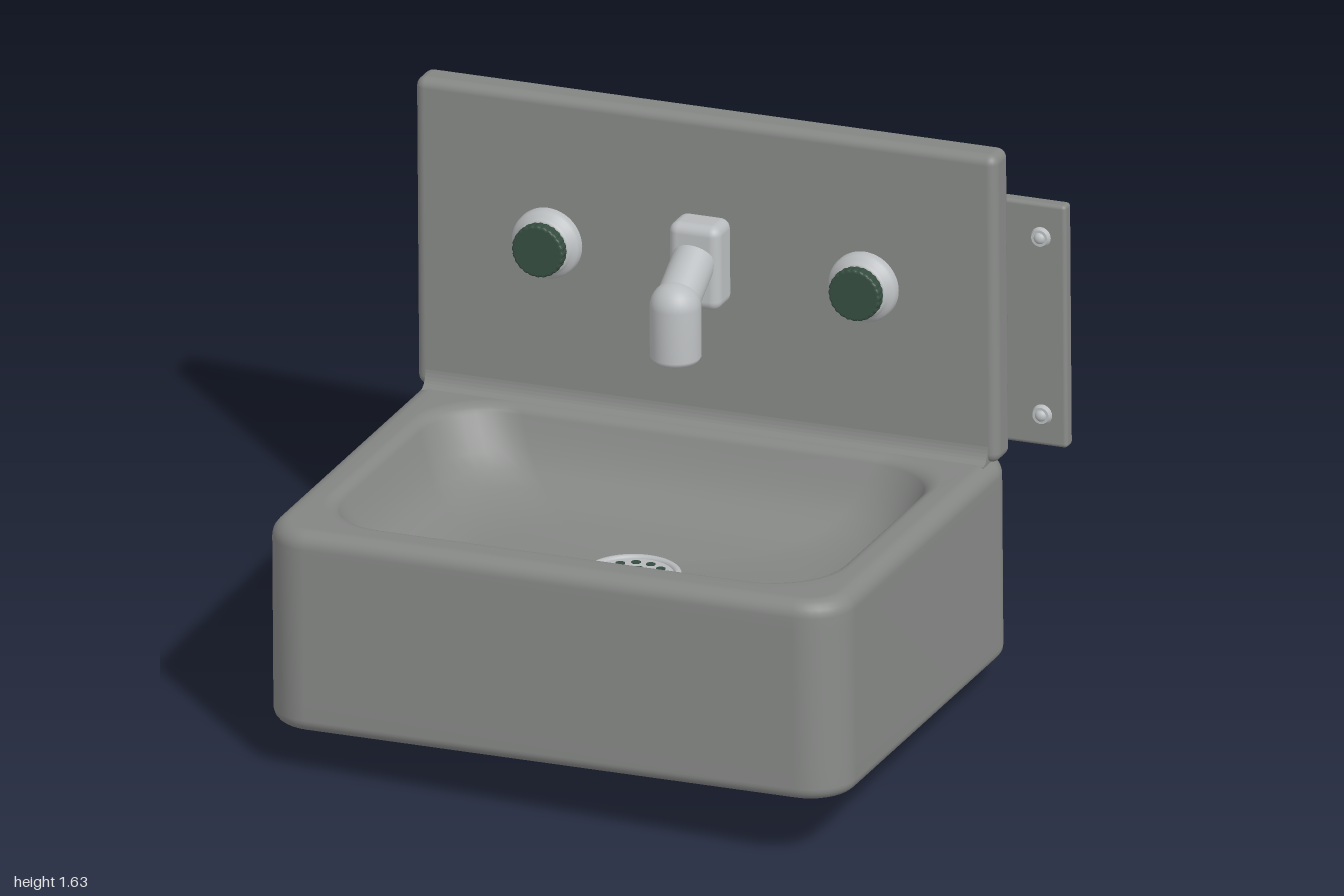
import * as THREE from 'three';
import { RoundedBoxGeometry } from 'three/addons/geometries/RoundedBoxGeometry.js';

const mat = (name, color) => {
  const m = new THREE.MeshStandardMaterial({ color });
  m.name = name;
  return m;
};

// Rounded rectangle ring, counter-clockwise from above
function ring({ hu, w0, w1, rf, rb, v }) {
  const pts = [], steps = 8;
  const corners = [[1, w0, rb, 1], [-1, w0, rb, 1], [-1, w1, rf, -1], [1, w1, rf, -1]];
  corners.forEach(([sx, w, r, sz], q) => {
    for (let i = 0; i <= steps; i++) {
      const a = (q + i / steps) * Math.PI / 2;
      pts.push([sx * (hu - r) + r * Math.cos(a), v, w + sz * r - r * Math.sin(a)]);
    }
  });
  return pts;
}

// Skin a stack of rings with smooth normals
function loft(rings) {
  const n = rings[0].length, idx = [];
  for (let i = 0; i < rings.length - 1; i++) {
    for (let j = 0; j < n; j++) {
      const a = i * n + j, b = i * n + (j + 1) % n;
      idx.push(a, b, a + n, b, b + n, a + n);
    }
  }
  const g = new THREE.BufferGeometry();
  g.setAttribute('position', new THREE.Float32BufferAttribute(rings.flat(2), 3));
  g.setIndex(idx);
  g.computeVertexNormals();
  return g;
}

const BOTTOM = 0.1, TOP = 0.71, BACK = -0.56, FRONT = 0.793, HALF = 0.892;

function basinGeometry() {
  const outer = (d, v) => ({ hu: HALF - d, w0: BACK + d, w1: FRONT - d,
    rf: 0.14 - d, rb: 0.11 - d, v });
  const bowl = (d, v) => ({ hu: 0.805 - d, w0: -0.405 + d, w1: 0.695 - d, rf: 0.225, rb: 0.225, v });
  const mix = (a, b, t) => {
    const o = {};
    for (const k in a) o[k] = a[k] + (b[k] - a[k]) * t;
    return o;
  };
  const R = 0.05, RB = 0.038;
  // hollow underside: a shallow dome with a narrow bell below the drain
  const peak = { hu: 0.01, w0: 0.107, w1: 0.127, rf: 0.01, rb: 0.01, v: BOTTOM };
  const mid = (BACK + FRONT) / 2, half = (FRONT - BACK) / 2;
  const rise = (x, z) => {
    const fx = Math.max(0, 1 - (x / (HALF - RB)) ** 2);
    const fz = Math.max(0, 1 - ((z - mid) / (half - RB)) ** 2);
    return 0.12 * (fx * fz) ** 1.3 + 0.2 * Math.exp(-(x * x + (z - mid) ** 2) / 0.06) * fx * fz;
  };
  const under = [];
  for (let i = 0; i < 24; i++) {
    under.push(ring(mix(peak, outer(RB, BOTTOM), i / 24)).map(([x, y, z]) => [x, y + rise(x, z), z]));
  }
  // rounded bottom edge, walls, rounded top edge
  const sections = [];
  for (let i = 0; i <= 6; i++) {
    const a = i / 6 * Math.PI / 2;
    sections.push(outer(RB * (1 - Math.sin(a)), BOTTOM + RB * (1 - Math.cos(a))));
  }
  sections.push(outer(0, 0.2), outer(0, 0.62));
  for (let i = 0; i <= 6; i++) {
    const a = i / 6 * Math.PI / 2;
    sections.push(outer(R * (1 - Math.cos(a)), TOP - R * (1 - Math.sin(a))));
  }
  // inner lip, sloping bowl wall and floor
  for (let i = 0; i <= 5; i++) {
    const a = i / 5 * 1.2;
    sections.push(bowl(0.04 * Math.sin(a), TOP - 0.04 * (1 - Math.cos(a))));
  }
  [[0.055, 0.64], [0.08, 0.59], [0.11, 0.547], [0.15, 0.513], [0.2, 0.488], [0.255, 0.473], [0.315, 0.464]]
    .forEach(([d, v]) => sections.push(bowl(d, v)));
  sections.push({ hu: 0.12, w0: 0.025, w1: 0.265, rf: 0.12, rb: 0.12, v: 0.448 });
  return loft([...under, ...sections.map(ring)]);
}

export function createModel() {
  const stone = mat('grey body', 0x868886);
  const chrome = mat('pale metal', 0xbabdbf);
  const green = mat('dark green', 0x364d40);

  const model = new THREE.Group();
  const sink = new THREE.Group();
  sink.name = 'sink';
  sink.rotation.set(-0.117, 0.0175, 0.0565);
  model.add(sink);

  const add = (name, geo, m, x, y, z, parent = sink) => {
    const mesh = new THREE.Mesh(geo, m);
    mesh.name = name;
    mesh.position.set(x, y, z);
    parent.add(mesh);
    return mesh;
  };
  const cx = -0.007;

  add('basin', basinGeometry(), stone, cx, 0, 0);

  // Splashback, cove and wall plates
  add('splashback', new RoundedBoxGeometry(1.79, 0.942, 0.105, 4, 0.03), stone, cx, 1.176, -0.483);
  const cove = new THREE.Shape();
  cove.moveTo(-0.45, 0.69);
  cove.lineTo(-0.395, 0.69);
  cove.lineTo(-0.395, 0.708);
  cove.quadraticCurveTo(-0.43, 0.715, -0.432, 0.775);
  cove.lineTo(-0.45, 0.775);
  const coveGeo = new THREE.ExtrudeGeometry(cove, { depth: 1.73, bevelEnabled: false, curveSegments: 8 });
  add('cove', coveGeo, stone, cx + 0.865, 0, 0).rotation.y = -Math.PI / 2;

  add('backPlate', new RoundedBoxGeometry(1.7, 0.742, 0.065, 3, 0.012), stone, -0.004, 1.107, -0.56);
  add('sideFlange', new RoundedBoxGeometry(0.204, 0.742, 0.046, 3, 0.012), stone, 0.952, 1.107, -0.572);

  // Flange screws
  for (const y of [0.832, 1.375]) {
    const washer = add('screwWasher', new THREE.CylinderGeometry(0.025, 0.031, 0.014, 24), chrome, 0.978, y, -0.543);
    washer.rotation.x = Math.PI / 2;
    const head = add('screwHead', new THREE.SphereGeometry(0.018, 16, 12), chrome, 0.978, y, -0.54);
    head.scale.z = 0.8;
  }

  // Finely fluted knobs on round collars
  const flute = new THREE.Shape();
  for (let i = 0; i < 144; i++) {
    const a = i / 144 * Math.PI * 2, r = 0.071 + 0.0012 * Math.cos(a * 24);
    flute[i ? 'lineTo' : 'moveTo'](r * Math.cos(a), r * Math.sin(a));
  }
  const knobGeo = new THREE.ExtrudeGeometry(flute, {
    depth: 0.022, bevelThickness: 0.008, bevelSize: 0.007, bevelSegments: 3 });
  const collarGeo = new THREE.LatheGeometry([
    [0.105, -0.01], [0.105, 0.015], [0.1, 0.025], [0.09, 0.033], [0.084, 0.04], [0.082, 0.047], [0.074, 0.051], [0, 0.051],
  ].map(p => new THREE.Vector2(...p)), 48);
  for (const s of [-1, 1]) {
    const knob = new THREE.Group();
    knob.name = s < 0 ? 'rightKnob' : 'leftKnob';
    knob.position.set(-0.005 + s * 0.487, 1.2, -0.43);
    sink.add(knob);
    add('collar', collarGeo, chrome, 0, 0, 0, knob).rotation.x = Math.PI / 2;
    add('handle', knobGeo, green, 0, 0, 0.056, knob);
  }

  // Spout
  const spout = new THREE.Group();
  spout.name = 'spout';
  spout.position.x = -0.007;
  sink.add(spout);
  add('spoutBlock', new RoundedBoxGeometry(0.158, 0.258, 0.115, 4, 0.03), chrome, 0, 1.222, -0.388, spout);
  const start = new THREE.Vector3(0, 1.245, -0.345), elbow = new THREE.Vector3(0, 1.155, -0.197);
  const arm = add('spoutArm', new THREE.CylinderGeometry(0.064, 0.064, start.distanceTo(elbow), 32), chrome, 0, 0, 0, spout);
  arm.position.copy(start).lerp(elbow, 0.5);
  arm.quaternion.setFromUnitVectors(new THREE.Vector3(0, 1, 0), start.clone().sub(elbow).normalize());
  add('spoutElbow', new THREE.SphereGeometry(0.074, 32, 20), chrome, 0, elbow.y, elbow.z, spout);
  const tipGeo = new THREE.LatheGeometry([
    [0, 0.012], [0.052, 0.012], [0.055, 0], [0.066, 0], [0.074, 0.014], [0.074, 0.165],
  ].map(p => new THREE.Vector2(...p)), 32);
  add('spoutTip', tipGeo, chrome, 0, 0.99, elbow.z, spout);

  // Drain strainer
  const drain = new THREE.Group();
  drain.name = 'drain';
  drain.position.set(-0.007, 0.452, 0.145);
  sink.add(drain);
  add('strainer', new THREE.CylinderGeometry(0.128, 0.128, 0.016, 48), chrome, 0, 0, 0, drain);
  const rim = add('drainRim', new THREE.TorusGeometry(0.13, 0.012, 10, 48), chrome, 0, 0.005, 0, drain);
  rim.rotation.x = Math.PI / 2;
  const holeGeo = new THREE.CylinderGeometry(0.014, 0.014, 0.004, 14);
  for (const [count, r] of [[1, 0], [6, 0.045], [12, 0.088]]) {
    for (let i = 0; i < count; i++) {
      const a = (i + 0.5) / count * Math.PI * 2;
      add('drainHole', holeGeo, green, r * Math.cos(a), 0.008, r * Math.sin(a), drain);
    }
  }
  return model;
}
